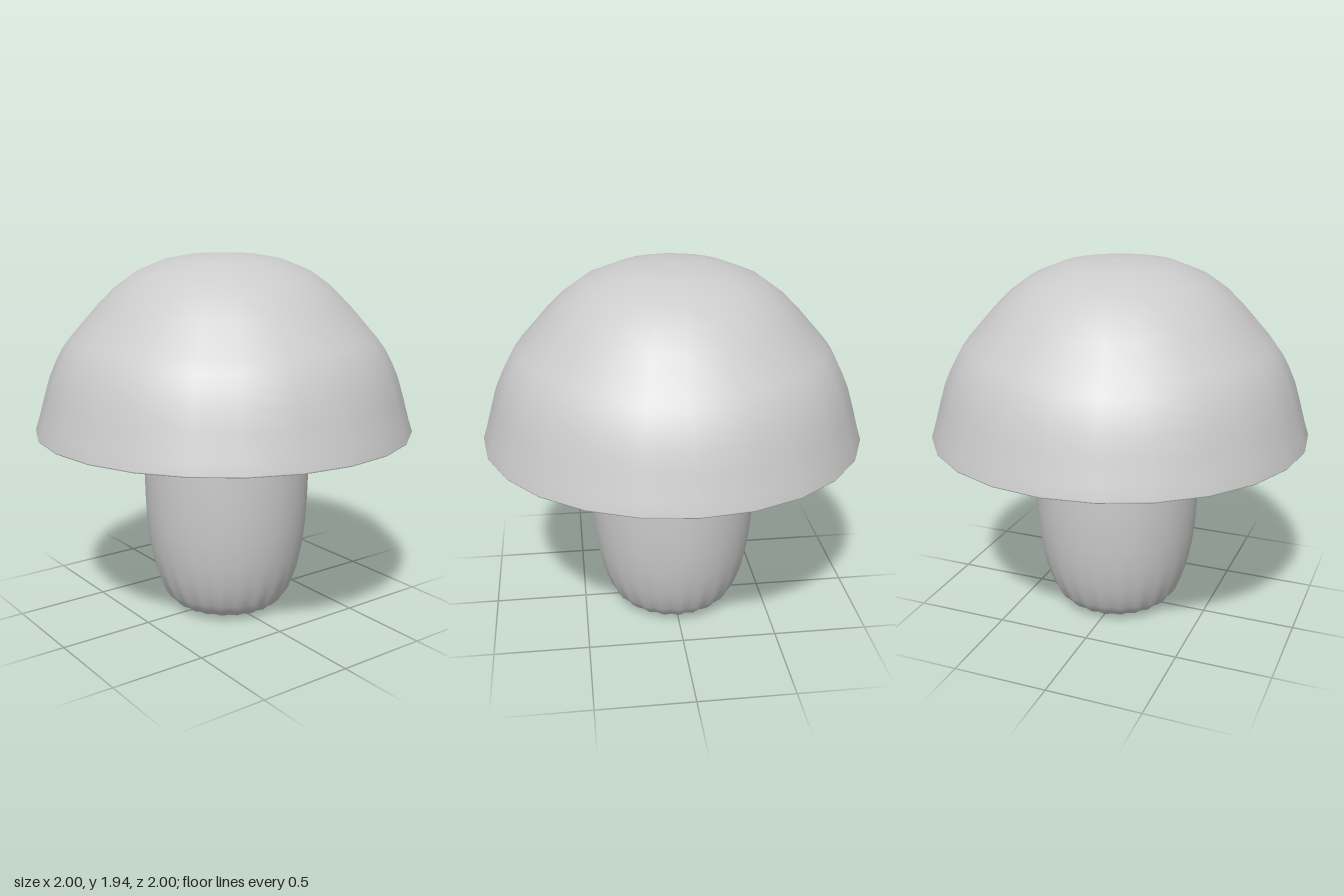
import * as THREE from 'three';
import { mergeVertices } from 'three/addons/utils/BufferGeometryUtils.js';

const material = new THREE.MeshStandardMaterial({ color: 0xcccccc });
const toPoints = (pairs) => pairs.map(([r, y]) => new THREE.Vector2(r, y));

function addMesh(group, name, geometry) {
  const mesh = new THREE.Mesh(geometry, material);
  mesh.name = name;
  group.add(mesh);
  return mesh;
}

// Fluted stem: a lathe whose radius ripples more strongly towards the foot
function stemGeometry() {
  const flutes = 22;
  const profile = toPoints([
    [0, 0.005], [0.2, 0.005], [0.225, 0.012], [0.28, 0.035], [0.318, 0.07], [0.345, 0.11],
    [0.37, 0.17], [0.398, 0.25], [0.42, 0.36], [0.436, 0.49], [0.443, 0.62],
    [0.447, 0.78], [0.442, 1.03],
  ]);
  const lathe = new THREE.LatheGeometry(profile, flutes * 4);
  lathe.deleteAttribute('uv');
  lathe.deleteAttribute('normal');
  const pos = lathe.attributes.position;
  for (let i = 0; i < pos.count; i++) {
    const x = pos.getX(i), y = pos.getY(i), z = pos.getZ(i);
    const depth = 0.03 * Math.max(0, 1 - y / 0.4) ** 2;
    const ripple = 1 + depth * Math.cos(flutes * Math.atan2(z, x));
    pos.setXYZ(i, x * ripple, y, z * ripple);
  }
  const geometry = mergeVertices(lathe, 1e-4);
  geometry.computeVertexNormals();
  return geometry;
}

export function createModel() {
  const group = new THREE.Group();
  group.name = 'mushroom';
  const sides = 24;

  // Domed cap with a small rounded lip
  addMesh(group, 'cap', new THREE.LatheGeometry(toPoints([
    [0.985, 1.015], [0.997, 1.018], [1, 1.025], [0.98, 1.085], [0.945, 1.21],
    [0.915, 1.31], [0.88, 1.39], [0.845, 1.455], [0.805, 1.51], [0.66, 1.675],
    [0.57, 1.765], [0.46, 1.845], [0.3, 1.91], [0.17, 1.932], [0, 1.94],
  ]), sides));

  // Flat underside of the cap
  addMesh(group, 'capUnderside', new THREE.LatheGeometry(
    toPoints([[0, 1.015], [0.985, 1.015]]), sides));

  // Stem sits slightly off the cap's centre
  addMesh(group, 'stem', stemGeometry()).position.x = 0.018;

  return group;
}
